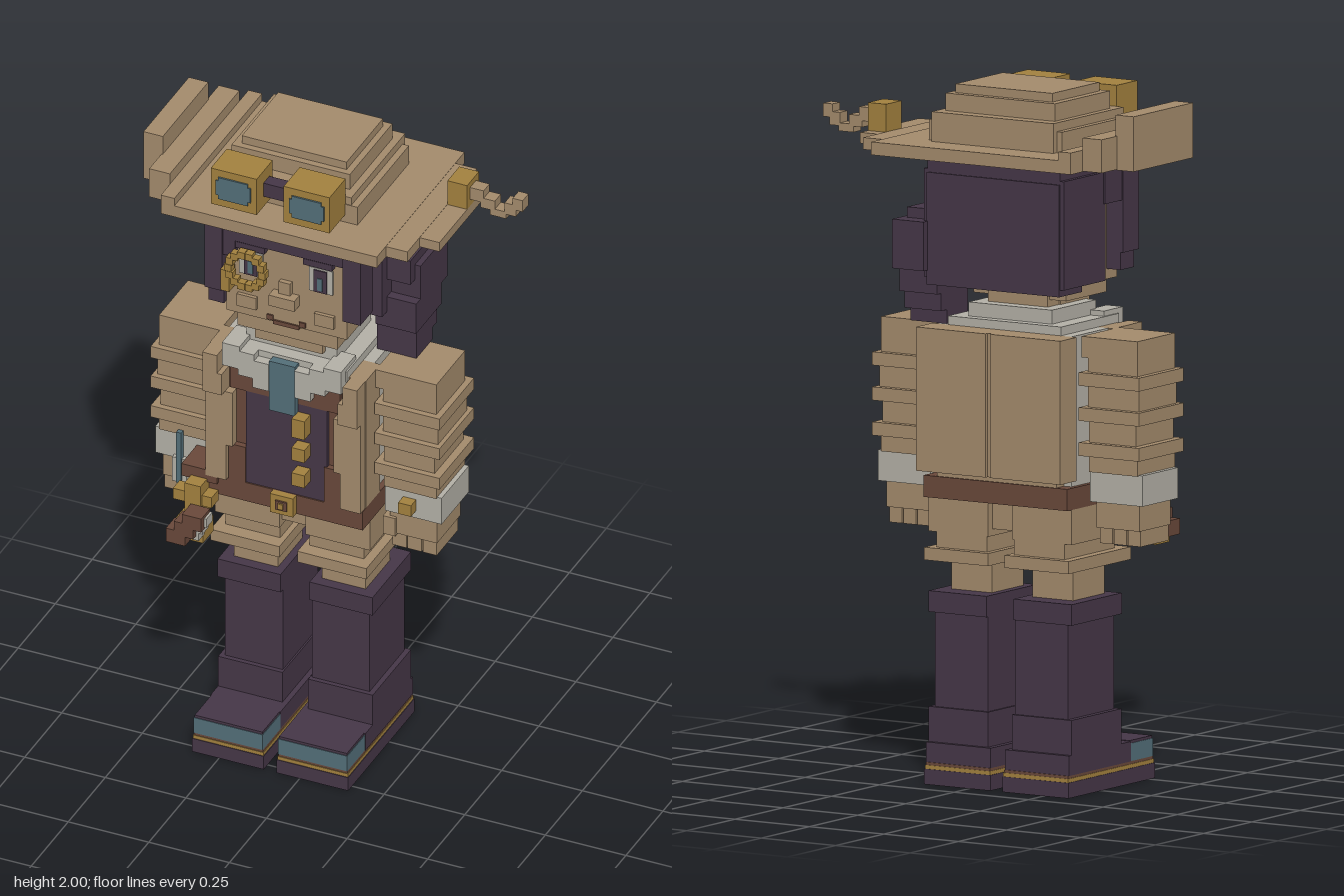
import * as THREE from 'three';

const mat = (name, color) => Object.assign(new THREE.MeshStandardMaterial({ color }), { name });
const tan = mat('tan', 0xa58c6d), purple = mat('dark purple', 0x463748), brown = mat('brown', 0x6a493b),
  gold = mat('brass', 0xa4823f), teal = mat('teal', 0x54707a), white = mat('off white', 0xb5b2a8);

export function createModel() {
  const model = new THREE.Group();
  const C = -0.0915; // body centre line
  // x values are measured from the body centre line
  const box = (name, m, x0, x1, y0, y1, z0, z1) => {
    const mesh = new THREE.Mesh(new THREE.BoxGeometry(Math.abs(x1 - x0), y1 - y0, z1 - z0), m);
    mesh.position.set(C + (x0 + x1) / 2, (y0 + y1) / 2, (z0 + z1) / 2);
    mesh.name = name;
    model.add(mesh);
    return mesh;
  };
  const pair = (name, m, x0, x1, ...rest) => {
    box(name + 'Left', m, x0, x1, ...rest);
    box(name + 'Right', m, -x0, -x1, ...rest);
  };

  // Boots
  pair('sole', purple, 0.02, 0.242, 0, 0.044, -0.172, 0.276);
  pair('soleStripe', gold, 0.022, 0.24, 0.044, 0.055, -0.17, 0.274);
  pair('welt', brown, 0.024, 0.238, 0.055, 0.063, -0.168, 0.272);
  pair('foot', purple, 0.024, 0.24, 0.063, 0.12, -0.165, 0.155);
  pair('toeCap', teal, 0.024, 0.238, 0.063, 0.114, 0.155, 0.274);
  pair('toeTop', purple, 0.026, 0.236, 0.114, 0.122, 0.155, 0.272);
  pair('bootAnkle', purple, 0.04, 0.24, 0.12, 0.22, -0.153, 0.106);
  pair('bootShaft', purple, 0.045, 0.224, 0.22, 0.49, -0.145, 0.092);
  pair('bootCuff', purple, 0.045, 0.24, 0.49, 0.55, -0.153, 0.108);

  // Legs and puffed shorts
  pair('knee', tan, 0.068, 0.204, 0.55, 0.64, -0.09, 0.075);
  pair('shortsHem', tan, 0.028, 0.242, 0.64, 0.676, -0.172, 0.153);
  pair('shortsLeg', tan, 0.045, 0.215, 0.676, 0.74, -0.15, 0.11);
  pair('shortsUpper', tan, 0.04, 0.24, 0.72, 0.82, -0.152, 0.125);
  box('shortsSeat', tan, -0.2, 0.2, 0.74, 0.82, -0.13, 0.11);

  // Belt
  box('belt', brown, -0.24, 0.242, 0.82, 0.882, -0.175, 0.178);
  box('buckle', gold, -0.036, 0.036, 0.82, 0.882, 0.178, 0.2);
  box('buckleHole', brown, -0.018, 0.018, 0.836, 0.866, 0.2, 0.205);
  box('bucklePin', gold, -0.008, 0.008, 0.842, 0.86, 0.205, 0.21);

  // Torso with shirt, vest and open coat
  box('shirt', white, -0.225, 0.225, 0.882, 1.31, -0.13, 0.1);
  box('vest', brown, -0.2, 0.2, 0.882, 1.28, 0.1, 0.16);
  box('vestFront', purple, -0.122, 0.13, 0.882, 1.19, 0.16, 0.174);
  pair('vestCollar', brown, 0.04, 0.17, 1.19, 1.28, 0.16, 0.176);
  pair('vestCorner', brown, 0.122, 0.175, 0.882, 1.0, 0.16, 0.178);
  pair('coatSide', tan, 0.19, 0.242, 0.882, 1.31, 0.06, 0.157);
  const lapels = [[1.25, 1.31, 0.195], [1.18, 1.25, 0.18], [1.0, 1.18, 0.157], [0.882, 1.0, 0.177]];
  lapels.forEach(([y0, y1, x], i) => pair('lapel' + i, tan, x, 0.24, y0, y1, 0.1, i < 2 ? 0.212 : 0.19));
  pair('coatBack', tan, 0.008, 0.242, 0.9, 1.31, -0.215, -0.13);
  box('coatBackSeam', tan, -0.008, 0.008, 0.9, 1.31, -0.205, -0.13);
  box('coatBackHem', tan, -0.2, 0.2, 0.88, 0.91, -0.17, -0.1);
  [1.132, 1.045, 0.96].forEach((y, i) => {
    const h = i ? 0.021 : 0.031;
    box('button' + i, gold, 0.038, 0.078, y - h, y + h, 0.174, 0.215);
  });

  // Shirt collar and tie
  box('collarBase', white, -0.19, 0.19, 1.3, 1.335, -0.13, 0.17);
  box('collarBand', white, -0.14, 0.14, 1.335, 1.375, -0.1, 0.13);
  [[0.13, 0.185, 1.275, 1.35], [0.085, 0.135, 1.255, 1.335], [0.04, 0.09, 1.225, 1.315]]
    .forEach((s, i) => pair('collarPoint' + i, white, ...s, 0.1, 0.2));
  box('tie', teal, -0.04, 0.04, 1.16, 1.325, 0.15, 0.196);

  // Ruffled sleeves, cuffs and hands
  [[1.25, 1.31, 0.242, 0.43], [1.19, 1.25, 0.265, 0.43], [1.1, 1.185, 0.265, 0.435],
    [1.01, 1.08, 0.268, 0.425], [0.925, 0.985, 0.268, 0.43]]
    .forEach(([y0, y1, x0, x1], i) => pair('sleeve' + i, tan, x0, x1, y0, y1, -0.105, 0.09));
  [1.19, 1.09, 0.99].forEach((y, i) => pair('sleeveRuffle' + i, tan, 0.246, 0.448, y - 0.018, y + 0.02, -0.125, 0.108));
  pair('shirtCuff', white, 0.268, 0.444, 0.84, 0.928, -0.1, 0.085);
  pair('hand', tan, 0.28, 0.425, 0.765, 0.84, -0.085, 0.075);
  [0, 1, 2].forEach(i => pair('finger' + i, tan, 0.285 + i * 0.047, 0.328 + i * 0.047, 0.72, 0.765, -0.075, 0.07));
  pair('thumb', tan, 0.262, 0.3, 0.76, 0.82, 0.0, 0.085);
  box('cuffLink', gold, 0.325, 0.365, 0.865, 0.902, 0.085, 0.12);

  // Gadget held at the belt
  box('gadgetStrap', brown, -0.315, -0.205, 0.86, 0.9, 0.075, 0.19);
  box('gadgetBody', gold, -0.285, -0.235, 0.73, 0.87, 0.17, 0.235);
  box('gadgetArm', gold, -0.325, -0.205, 0.8, 0.835, 0.18, 0.225);
  box('gadgetBase', gold, -0.315, -0.225, 0.685, 0.74, 0.17, 0.24);
  [0, 1, 2].forEach(i => box('gadgetGrip' + i, brown, -0.315 + i * 0.025, -0.255 + i * 0.025, 0.7 + i * 0.03, 0.745 + i * 0.03, 0.235, 0.295));
  [0, 1, 2].forEach(i => box('gadgetEdge' + i, white, -0.25 + i * 0.012, -0.222 + i * 0.012, 0.715 + i * 0.025, 0.745 + i * 0.025, 0.235, 0.275));
  box('glassVial', teal, -0.37, -0.355, 0.77, 0.94, 0.09, 0.105);
  box('vialHolder', white, -0.385, -0.34, 0.77, 0.85, 0.08, 0.1);

  // Neck and face
  box('neck', tan, -0.1, 0.1, 1.32, 1.42, -0.06, 0.08);
  box('chin', tan, -0.105, 0.105, 1.36, 1.405, 0, 0.15);
  box('jaw', tan, -0.155, 0.155, 1.395, 1.445, -0.05, 0.16);
  box('face', tan, -0.187, 0.187, 1.44, 1.71, -0.08, 0.165);
  box('nose', tan, -0.04, 0.04, 1.515, 1.55, 0.165, 0.2);
  box('noseBridge', tan, -0.018, 0.018, 1.55, 1.59, 0.165, 0.18);
  pair('cheek', tan, 0.09, 0.15, 1.47, 1.51, 0.16, 0.176);
  box('mouth', brown, -0.04, 0.04, 1.435, 1.448, 0.163, 0.17);
  pair('mouthCorner', brown, 0.04, 0.06, 1.446, 1.462, 0.163, 0.17);
  pair('eyeWhite', white, 0.072, 0.145, 1.58, 1.66, 0.164, 0.17);
  pair('iris', purple, 0.088, 0.128, 1.582, 1.655, 0.17, 0.174);
  pair('irisShine', teal, 0.1, 0.116, 1.59, 1.63, 0.174, 0.177);
  pair('eyebrow', purple, 0.06, 0.15, 1.672, 1.692, 0.165, 0.185);

  // Monocle ring made of small blocks
  for (let i = 0; i < 14; i++) {
    const a = i / 14 * Math.PI * 2, x = -0.108 + Math.cos(a) * 0.053, y = 1.617 + Math.sin(a) * 0.053;
    box('monocleRing' + i, gold, x - 0.011, x + 0.011, y - 0.011, y + 0.011, 0.19, 0.214);
  }
  box('monocleHolder', gold, -0.187, -0.16, 1.53, 1.6, 0.165, 0.205);

  // Hair
  box('hairTop', purple, -0.222, 0.222, 1.7, 1.805, -0.185, 0.165);
  box('hairBack', purple, -0.222, 0.222, 1.43, 1.75, -0.19, -0.07);
  pair('hairSide', purple, 0.185, 0.235, 1.45, 1.76, -0.185, 0.032);
  pair('sideLock', purple, 0.187, 0.242, 1.52, 1.76, 0.11, 0.194);
  pair('sideLockTop', purple, 0.187, 0.24, 1.67, 1.77, 0.02, 0.12);
  box('lockTipRight', purple, -0.235, -0.187, 1.47, 1.53, 0.11, 0.18);
  box('fringe', purple, -0.2, 0.2, 1.695, 1.765, 0.15, 0.188);
  box('fringeLow', purple, -0.2, -0.15, 1.64, 1.7, 0.15, 0.188);

  // Side ponytail, tapering downward
  [[1.56, 1.64, 0.2, 0.308, -0.16, 0.0], [1.47, 1.61, 0.22, 0.326, -0.21, -0.03],
    [1.4, 1.5, 0.2, 0.326, -0.17, 0.0], [1.35, 1.42, 0.2, 0.322, -0.15, -0.01], [1.31, 1.37, 0.2, 0.322, -0.12, -0.01]]
    .forEach(([y0, y1, x0, x1, z0, z1], i) => box('ponytail' + i, purple, x0, x1, y0, y1, z0, z1));

  // Hat: stepped brim with one side curled up
  box('brimMiddle', tan, -0.33, 0.34, 1.803, 1.84, -0.296, 0.296);
  box('brimWide', tan, -0.394, 0.407, 1.805, 1.839, -0.235, 0.235);
  box('brimWidest', tan, -0.45, 0.468, 1.807, 1.838, -0.155, 0.152);
  box('brimCurlInner', tan, -0.33, -0.288, 1.81, 1.865, -0.296, 0.296);
  box('brimCurlMiddle', tan, -0.394, -0.33, 1.805, 1.9, -0.235, 0.235);
  box('brimCurlOuter', tan, -0.45, -0.39, 1.803, 1.96, -0.155, 0.152);

  // Hat crown
  box('crownBase', tan, -0.225, 0.222, 1.84, 1.9, -0.178, 0.17);
  box('crownLower', tan, -0.207, 0.202, 1.84, 1.925, -0.196, 0.168);
  box('crownUpper', tan, -0.187, 0.18, 1.92, 1.975, -0.157, 0.13);
  box('crownTop', tan, -0.164, 0.161, 1.97, 2, -0.135, 0.11);

  // Goggles resting on the hat
  pair('goggleFrame', gold, 0.042, 0.184, 1.865, 1.985, 0.168, 0.276);
  pair('goggleLens', teal, 0.068, 0.16, 1.89, 1.962, 0.276, 0.281);
  pair('goggleLensSide', teal, 0.06, 0.168, 1.902, 1.95, 0.276, 0.28);
  box('goggleBridge', purple, -0.044, 0.044, 1.9, 1.945, 0.19, 0.23);

  // Small ornament on the brim
  box('ornamentMount', gold, 0.407, 0.468, 1.838, 1.918, -0.035 - 0.08, -0.035);
  [[0.44, 0.51, 1.86, 1.9], [0.5, 0.545, 1.842, 1.875], [0.53, 0.58, 1.825, 1.848],
    [0.575, 0.61, 1.84, 1.878], [0.6, 0.631, 1.862, 1.9]]
    .forEach((s, i) => box('ornamentTail' + i, tan, ...s, -0.095, -0.055));

  return model;
}
